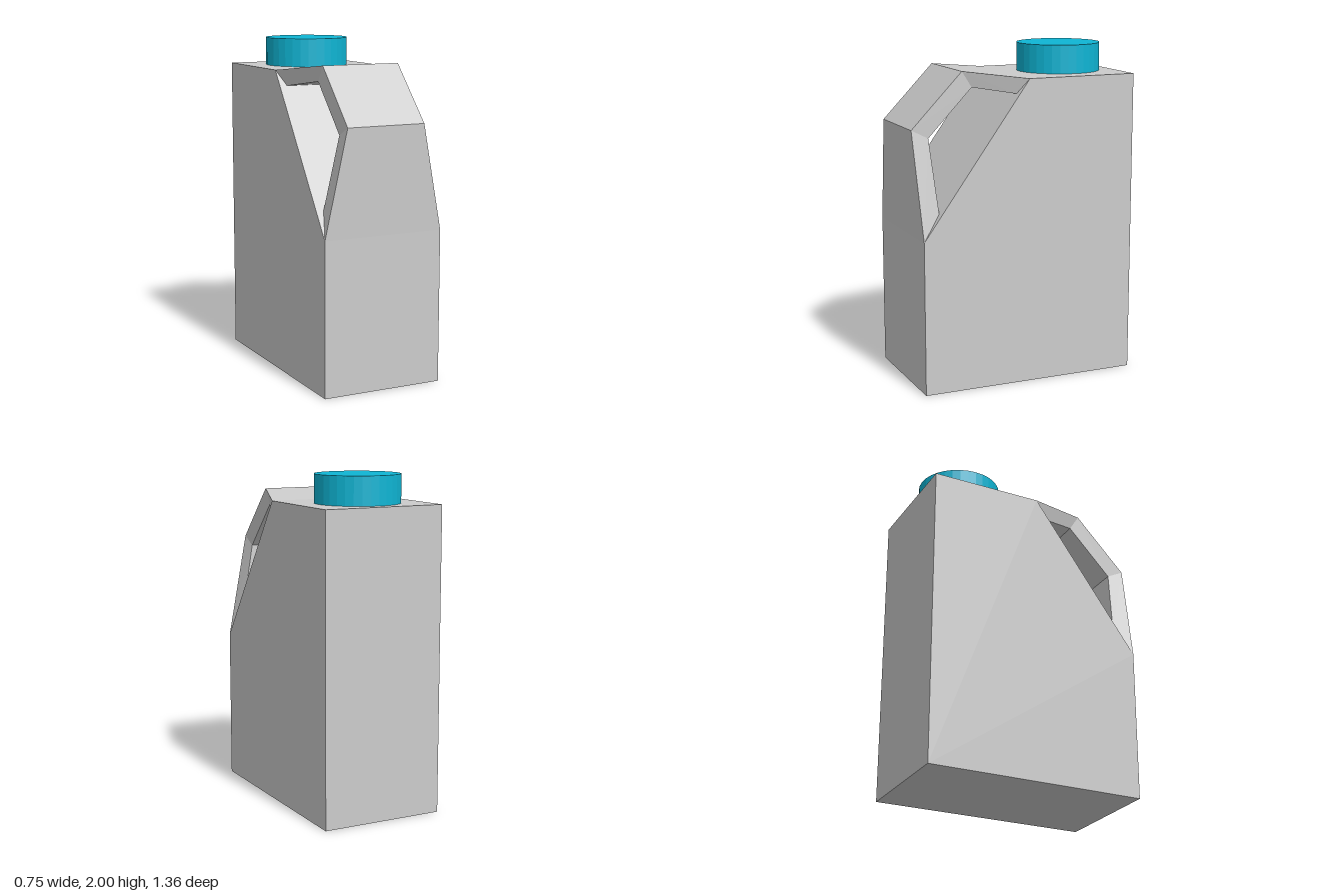
import * as THREE from 'three';

const HALF_WIDTH = 0.375;

function createMaterial(color = 0xcccccc) {
  return new THREE.MeshStandardMaterial({ color, flatShading: true });
}

// Four-cornered bar lofted through stations of outer and inner [halfX, y, z] edges.
function loftBar(stations) {
  const positions = [];
  const index = [];
  stations.forEach(({ outer, inner }, s) => {
    const [ox, oy, oz] = outer;
    const [ix, iy, iz] = inner;
    positions.push(ox, oy, oz, -ox, oy, oz, -ix, iy, iz, ix, iy, iz);
    if (s === stations.length - 1) return;
    for (let j = 0; j < 4; j++) {
      const a = s * 4 + j;
      const b = s * 4 + (j + 1) % 4;
      index.push(b, a, a + 4, b, a + 4, b + 4);
    }
  });
  const geometry = new THREE.BufferGeometry();
  geometry.setAttribute('position', new THREE.Float32BufferAttribute(positions, 3));
  geometry.setIndex(index);
  const flat = geometry.toNonIndexed();
  flat.computeVertexNormals();
  return flat;
}

export function createModel() {
  const group = new THREE.Group();
  const add = (name, geometry, material) => {
    const mesh = new THREE.Mesh(geometry, material);
    mesh.name = name;
    group.add(mesh);
    return mesh;
  };
  const plastic = createMaterial();

  // Body: side profile (z, y) with a sloped front shoulder, extruded across x
  const profile = new THREE.Shape([
    [-0.68, 0], [0.66, 0], [0.66, 0.92], [0, 1.83], [-0.68, 1.83],
  ].map(([z, y]) => new THREE.Vector2(z, y)));
  const body = new THREE.ExtrudeGeometry(profile, { depth: 2 * HALF_WIDTH, bevelEnabled: false });
  body.translate(0, 0, -HALF_WIDTH).rotateY(-Math.PI / 2);
  add('body', body, plastic);

  // Handle: wide where it meets the body, narrow along the grip
  add('handle', loftBar([
    { outer: [HALF_WIDTH, 0.92, 0.66], inner: [0.33, 1.07, 0.55] },
    { outer: [0.245, 1.552, 0.683], inner: [0.245, 1.5, 0.58] },
    { outer: [0.245, 1.875, 0.37], inner: [0.245, 1.78, 0.31] },
    { outer: [HALF_WIDTH, 1.83, 0], inner: [0.33, 1.74, 0.063] },
  ]), plastic);

  // Screw cap near the back of the top
  const cap = add('cap', new THREE.CylinderGeometry(0.253, 0.253, 0.17, 32), createMaterial(0x0fb5d4));
  cap.position.set(0, 1.915, -0.36);

  return group;
}
